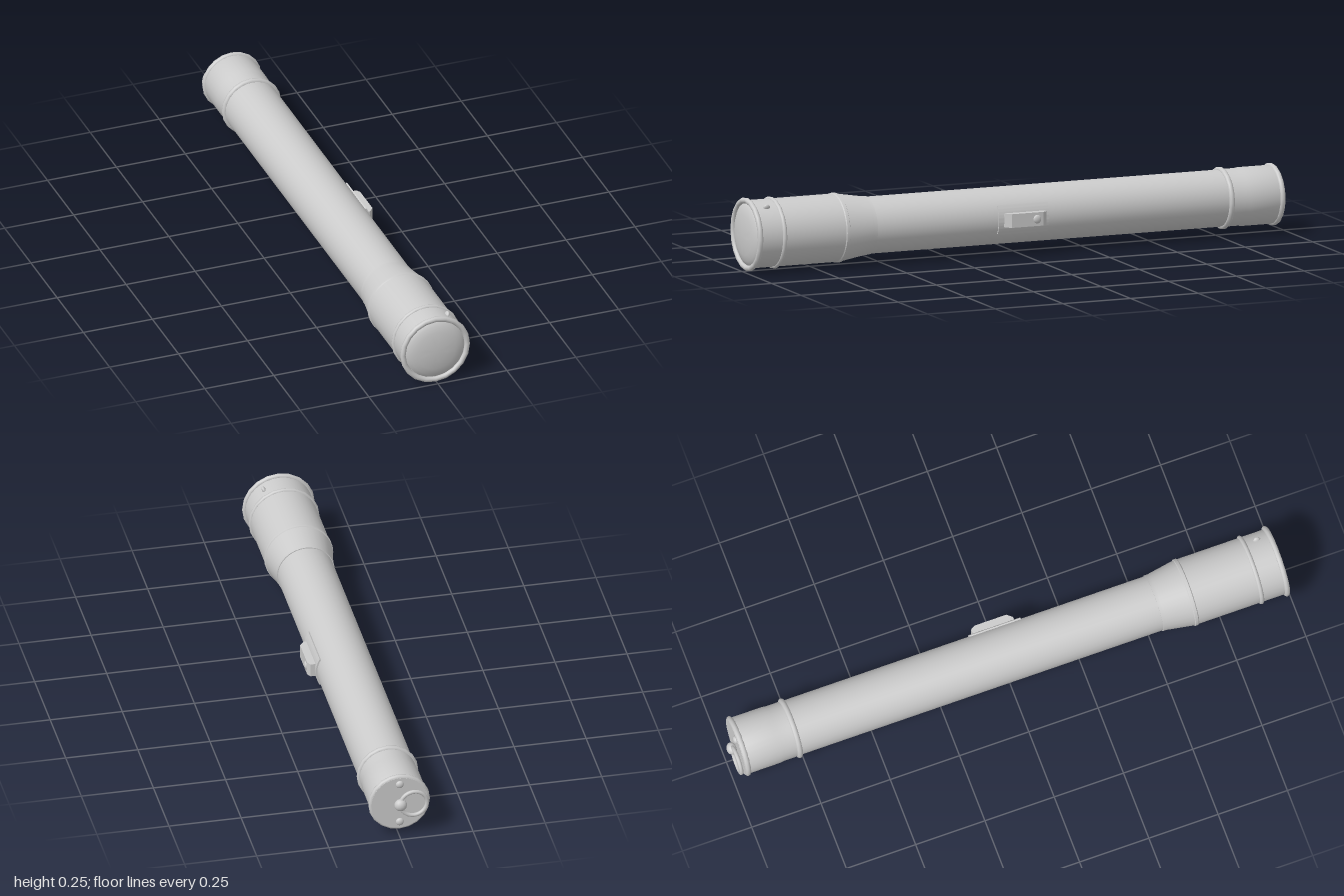
import * as THREE from 'three';
import { toCreasedNormals } from 'three/addons/utils/BufferGeometryUtils.js';

const material = new THREE.MeshStandardMaterial({ color: 0xcccccc });

export function createModel() {
  const torch = new THREE.Group();
  torch.name = 'flashlight';
  torch.position.set(-0.003, 0.126, 0); // tube axis

  const add = (name, geometry, x = 0, y = 0, z = 0) => {
    const mesh = new THREE.Mesh(geometry, material);
    mesh.name = name;
    mesh.position.set(x, y, z);
    torch.add(mesh);
    return mesh;
  };

  // Turned part along z, from [radius, z] pairs running back to front
  const turned = (name, profile, segments = 32, crease = 0.5) => {
    const g = new THREE.LatheGeometry(profile.map(p => new THREE.Vector2(...p)), segments);
    g.rotateX(Math.PI / 2);
    return add(name, toCreasedNormals(g, crease));
  };

  // Rounded band around the tube
  const band = (name, outer, tube, z) =>
    add(name, new THREE.TorusGeometry(outer - tube, tube, 10, 20), 0, 0, z);

  // Barrel, tail cap and flared head
  turned('barrel', [[0.097, -0.80], [0.097, 0.56]]);
  turned('tailCap', [[0, -0.967], [0.098, -0.967], [0.1, -0.96], [0.1, -0.84],
    [0.098, -0.825], [0.098, -0.77], [0.09, -0.77]]);
  turned('head', [[0.09, 0.54], [0.1, 0.54], [0.1, 0.553], [0.116, 0.648], [0.119, 0.65],
    [0.119, 0.66], [0.116, 0.663], [0.116, 0.98], [0.105, 0.98]]);

  // Domed lens
  turned('lens', [[0.112, 0.974], [0.106, 0.98], [0.092, 0.988], [0.07, 0.994],
    [0.04, 0.998], [0, 1.0]], 32, 1);

  // Bands
  band('lensRim', 0.126, 0.0095, 0.981);
  band('headBand', 0.123, 0.008, 0.89);
  band('tailBand', 0.107, 0.01, -0.77);
  band('endBand', 0.107, 0.01, -0.957);

  // Curved plate under the switch
  const arc = 0.52;
  const plate = new THREE.Shape();
  plate.absarc(0, 0, 0.102, -arc, arc, false);
  plate.absarc(0, 0, 0.092, arc, -arc, true);
  const plateGeo = new THREE.ExtrudeGeometry(plate,
    { depth: 0.185, bevelEnabled: false, curveSegments: 10 });
  add('switchPlate', toCreasedNormals(plateGeo, 0.5), 0, 0, -0.092);

  // Switch block with sloping ends, drawn as (z, x) and turned to the side
  const block = new THREE.Shape([[-0.075, 0.09], [0.075, 0.09], [0.073, 0.11], [0.055, 0.125],
    [-0.06, 0.125], [-0.075, 0.116]].map(p => new THREE.Vector2(...p)));
  const blockGeo = new THREE.ExtrudeGeometry(block, { depth: 0.047, bevelEnabled: false });
  blockGeo.applyMatrix4(new THREE.Matrix4().set(
    0, 1, 0, 0,
    0, 0, 1, -0.0235,
    1, 0, 0, 0,
    0, 0, 0, 1));
  add('switchBlock', blockGeo);

  // Flattened round studs
  const stud = (name, r, height, x, y, z) => {
    const g = new THREE.SphereGeometry(r, 14, 10);
    g.scale(1, 1, height / r);
    return add(name, g, x, y, z);
  };
  stud('switchButton', 0.015, 0.007, 0.124, 0, -0.038).rotation.y = Math.PI / 2;

  const a = 1.02;
  const screw = stud('headScrew', 0.013, 0.007, 0.115 * Math.cos(a), 0.115 * Math.sin(a), 0.935);
  screw.rotation.set(-Math.PI / 2, a - Math.PI / 2, 0, 'ZXY');
  screw.lookAt(screw.position.x * 2, screw.position.y * 2, 0.935);

  // Tail rivets, hanging ring and its knob
  for (const side of [1, -1]) stud('tailRivet', 0.014, 0.009, 0, side * 0.074, -0.968);
  stud('ringKnob', 0.022, 0.018, 0, 0, -0.982);
  add('hangingRing', new THREE.TorusGeometry(0.046, 0.007, 8, 28), -0.046, 0, -0.98);

  return torch;
}
